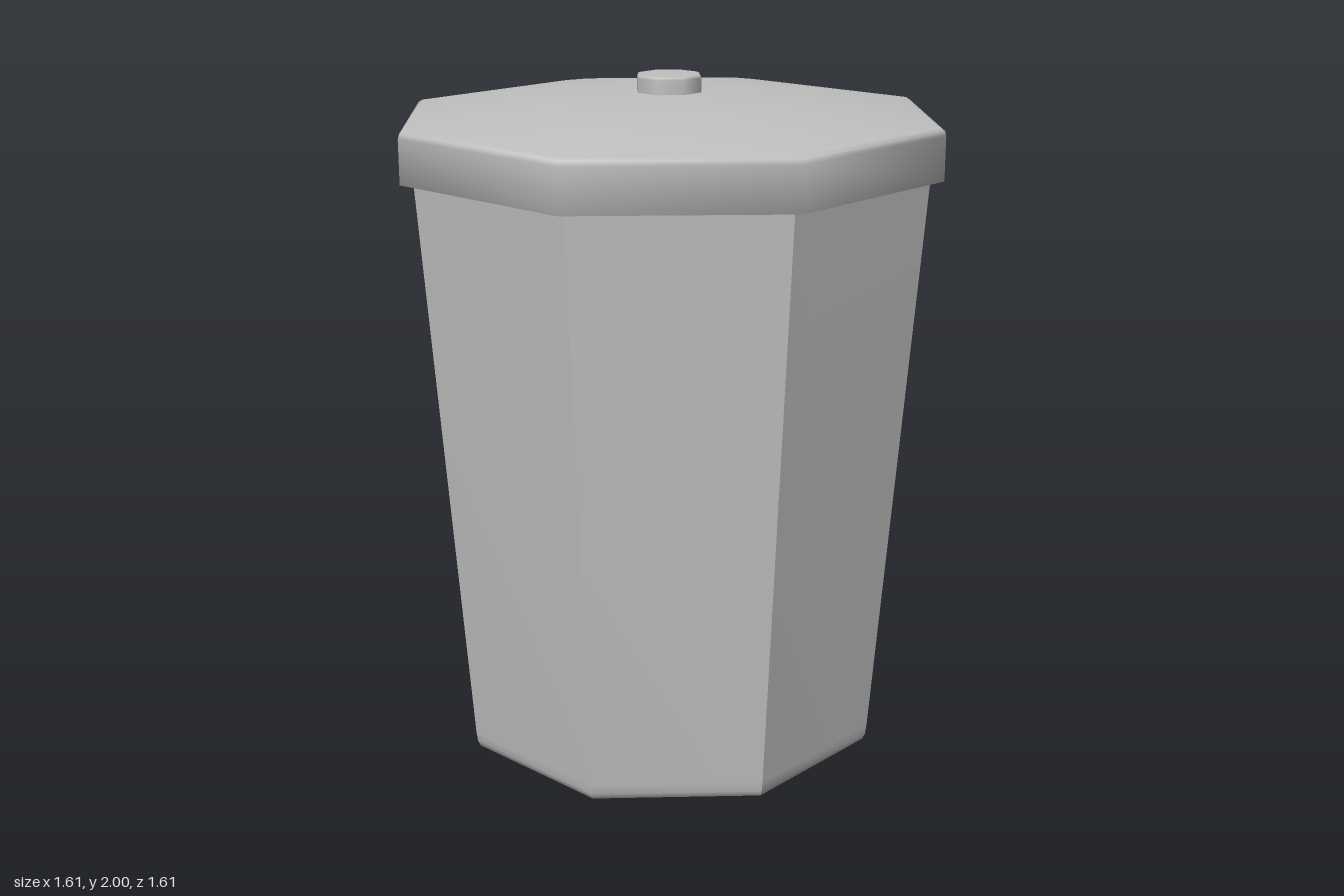
import * as THREE from 'three';
import { toCreasedNormals } from 'three/addons/utils/BufferGeometryUtils.js';

const SIDES = 8;

// Revolves [radius, height] pairs, listed from bottom centre to top centre
function octagonal(profile) {
  return new THREE.LatheGeometry(profile.map(([r, y]) => new THREE.Vector2(r, y)), SIDES);
}

export function createModel() {
  const group = new THREE.Group();
  const metal = new THREE.MeshStandardMaterial({ color: 0xc0c0c0 });
  metal.name = 'grey metal';

  function add(name, geometry) {
    const mesh = new THREE.Mesh(geometry, metal);
    mesh.name = name;
    group.add(mesh);
  }

  // Tapered bin with crisp facets and a rounded bottom edge
  add('body', toCreasedNormals(octagonal([
    [0, 0], [0.58, 0], [0.61, 0.003], [0.628, 0.012], [0.636, 0.03], [0.64, 0.06],
    [0.765, 1.7], [0.769, 1.75], [0, 1.75],
  ]), 0.7));

  // Overhanging lid with a softened rim and a low dome
  add('lid', octagonal([
    [0.76, 1.74], [0.807, 1.74], [0.807, 1.865], [0.803, 1.879], [0.79, 1.886],
    [0.6, 1.914], [0.4, 1.937], [0.25, 1.946], [0.12, 1.95], [0, 1.95],
  ]));

  // Small knob with a narrow bevel
  add('knob', octagonal([
    [0.098, 1.94], [0.098, 1.99], [0.095, 1.997], [0.088, 2], [0, 2],
  ]));

  return group;
}
